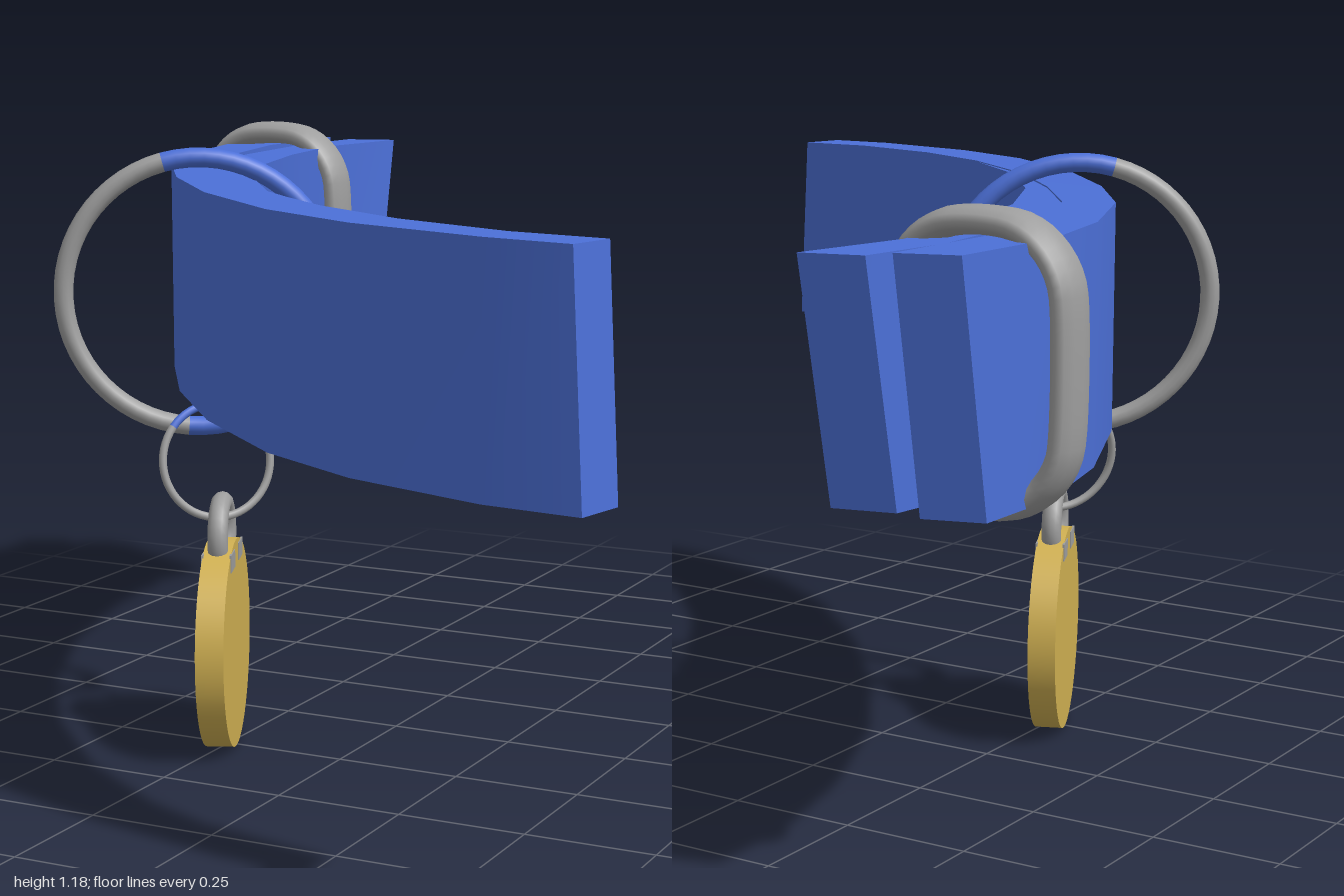
import * as THREE from 'three';
import { toCreasedNormals } from 'three/addons/utils/BufferGeometryUtils.js';

const blue = new THREE.MeshStandardMaterial({ color: 0x4c70d8 });
blue.name = 'blue strap';
const steel = new THREE.MeshStandardMaterial({ color: 0x9e9e9e });
steel.name = 'grey metal';
const gold = new THREE.MeshStandardMaterial({ color: 0xd0b052 });
gold.name = 'gold';

function part(parent, name, geometry, material) {
  const mesh = new THREE.Mesh(geometry, material);
  mesh.name = name;
  parent.add(mesh);
  return mesh;
}

// Strap swept through rows of [outerX, outerZ, innerX, innerZ];
// the bottom edge of the first and last row is shifted to slant the ends.
function strapGeometry(rows, yTop, yBottom, startShift, endShift) {
  const pos = [], idx = [], last = rows.length - 1;
  rows.forEach(([ox, oz, ix, iz], i) => {
    const [sx, sz] = i === 0 ? startShift : i === last ? endShift : [0, 0];
    const top = THREE.MathUtils.lerp(yTop[0], yTop[1], i / last);
    pos.push(ox + sx, yBottom, oz + sz, ox, top, oz, ix, top, iz, ix + sx, yBottom, iz + sz);
    if (i === last) return;
    for (let j = 0; j < 4; j++) {
      const a = i * 4 + j, b = i * 4 + (j + 1) % 4;
      idx.push(a, a + 4, b + 4, a, b + 4, b);
    }
  });
  const e = last * 4;
  idx.push(0, 1, 2, 0, 2, 3, e, e + 2, e + 1, e, e + 3, e + 2);
  const geo = new THREE.BufferGeometry();
  geo.setAttribute('position', new THREE.Float32BufferAttribute(pos, 3));
  geo.setIndex(idx);
  return toCreasedNormals(geo, 0.7);
}

// Ring made of coloured arcs: [startDegrees, endDegrees, material]
function ring(name, radius, tube, arcs) {
  const group = new THREE.Group();
  group.name = name;
  for (const [from, to, material] of arcs) {
    const arc = THREE.MathUtils.degToRad(to - from);
    const geo = new THREE.TorusGeometry(radius, tube, 12, Math.ceil((to - from) / 6), arc);
    geo.rotateZ(THREE.MathUtils.degToRad(from));
    part(group, name + 'Arc', geo, material);
  }
  group.rotation.order = 'YXZ';
  return group;
}

export function createModel() {
  const model = new THREE.Group();
  model.name = 'collar';

  // Outer strap runs the full length
  part(model, 'outerStrap', strapGeometry([
    [-0.75, -0.93, -0.645, -0.96], [-0.75, -0.65, -0.64, -0.65],
    [-0.685, -0.38, -0.585, -0.41], [-0.55, -0.06, -0.46, -0.1],
    [-0.37, 0.22, -0.285, 0.155], [-0.15, 0.49, -0.08, 0.405],
    [0.11, 0.73, 0.16, 0.625], [0.34, 0.87, 0.38, 0.77],
    [0.62, 0.97, 0.62, 0.87], [0.78, 0.995, 0.8, 0.895],
  ], [1.13, 1.115], 0.7, [0, 0.08], [0.02, 0]), blue);

  // Inner strap overlaps behind it and merges at the front
  part(model, 'innerStrap', strapGeometry([
    [-0.605, -0.975, -0.495, -1], [-0.62, -0.77, -0.53, -0.75],
    [-0.575, -0.42, -0.48, -0.46], [-0.47, -0.08, -0.39, -0.16],
    [-0.32, 0.2, -0.25, 0.13], [-0.13, 0.46, -0.07, 0.395],
    [0.1, 0.66, 0.135, 0.6],
  ], [1.125, 1.118], 0.705, [0, 0.09], [0, 0]), blue);

  // Keeper loop round both straps
  const corners = [];
  for (let q = 0; q < 4; q++) {
    const sx = q === 0 || q === 3 ? 1 : -1, sy = q < 2 ? 1 : -1;
    for (let k = 0; k <= 5; k++) {
      const a = (q + k / 5) * Math.PI / 2;
      corners.push(new THREE.Vector3(sx * 0.028 + 0.13 * Math.cos(a), sy * 0.103 + 0.13 * Math.sin(a), 0));
    }
  }
  const loop = new THREE.CatmullRomCurve3(corners, true);
  const keeper = part(model, 'keeperLoop', new THREE.TubeGeometry(loop, 72, 0.025, 12, true), steel);
  keeper.scale.z = 1.95;
  keeper.position.set(-0.643, 0.922, -0.685);

  // Large ring through the strap
  const large = ring('largeRing', 0.263, 0.019, [
    [105, 265, steel], [265, 307, blue], [307, 328, steel], [328, 465, blue],
  ]);
  large.position.set(-0.307, 0.902, 0.245);
  large.rotation.y = 0.54;
  model.add(large);

  // Small split ring
  const small = ring('smallRing', 0.112, 0.008, [[50, 140, blue], [140, 410, steel]]);
  small.position.set(-0.278, 0.57, 0.235);
  small.rotation.set(-0.17, 0.877, 0);
  model.add(small);

  // Round tag with hanging loop
  const tag = new THREE.Group();
  tag.name = 'tag';
  const disc = new THREE.CylinderGeometry(0.208, 0.208, 0.055, 48);
  disc.rotateX(Math.PI / 2);
  part(tag, 'tagDisc', disc, gold);
  part(tag, 'tagLoop', new THREE.TorusGeometry(0.066, 0.02, 12, 32), steel).position.y = 0.217;
  for (const x of [-0.058, 0.058])
    for (const z of [-0.0275, 0.0275])
      part(tag, 'loopMount', new THREE.BoxGeometry(0.06, 0.035, 0.004), steel).position.set(x, 0.177, z);
  tag.position.set(-0.26, 0.208, 0.25);
  tag.rotation.y = -1.18;
  model.add(tag);

  return model;
}
